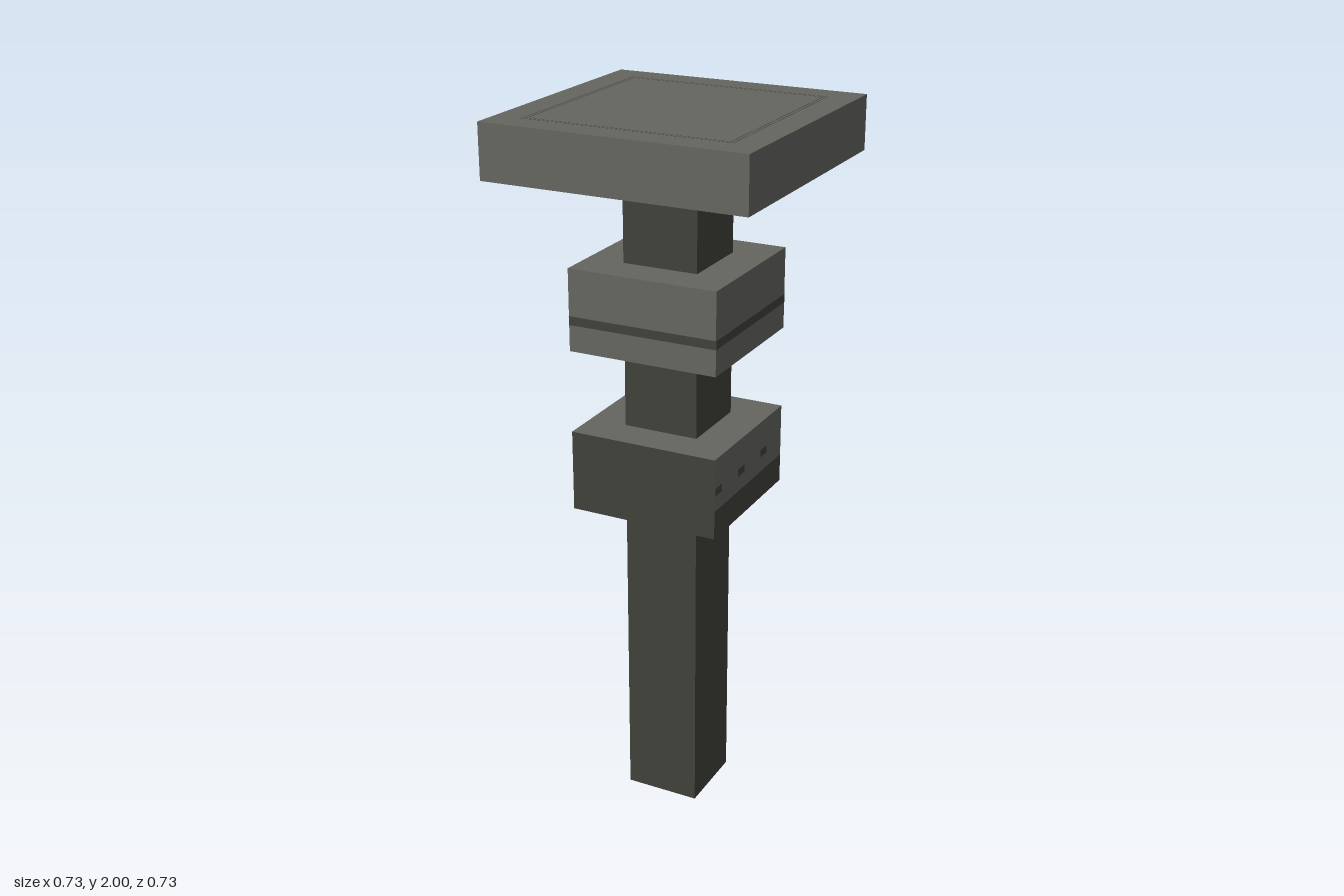
import * as THREE from 'three';

const light = new THREE.MeshStandardMaterial({ color: 0x656560 });
light.name = 'paleStone';
const dark = new THREE.MeshStandardMaterial({ color: 0x41413a, side: THREE.DoubleSide });
dark.name = 'darkStone';

const SHAFT = 0.107, COLLAR = 0.213, CAP = 0.367;

function add(parent, name, geometry, material, x = 0, y = 0, z = 0) {
  const mesh = new THREE.Mesh(geometry, material);
  mesh.name = name;
  mesh.position.set(x, y, z);
  parent.add(mesh);
  return mesh;
}

// Square block between two heights; materials may be one or six (+x -x +y -y +z -z)
function block(parent, name, half, y0, y1, material) {
  return add(parent, name, new THREE.BoxGeometry(half * 2, y1 - y0, half * 2), material, 0, (y0 + y1) / 2, 0);
}

// Open four-sided tube or frustum with hard edges
function squareTube(topHalf, bottomHalf, height) {
  const r = Math.SQRT2;
  const g = new THREE.CylinderGeometry(topHalf * r, bottomHalf * r, height, 4, 1, true, Math.PI / 4).toNonIndexed();
  g.computeVertexNormals();
  return g;
}

// Thin painted plate on a collar side, turned about y (0 = front, PI/2 = +x, PI = back)
function plate(parent, name, turn, u, y, w, h) {
  const side = new THREE.Group();
  side.name = name;
  side.rotation.y = turn;
  add(side, name + 'Plate', new THREE.BoxGeometry(w, h, 0.002), dark, u, y, COLLAR);
  parent.add(side);
}

// Thin square outline inlaid in the cap top
function outline(parent, half, width) {
  const s = new THREE.Shape();
  const h = new THREE.Path();
  const i = half - width;
  s.moveTo(-half, -half).lineTo(half, -half).lineTo(half, half).lineTo(-half, half).closePath();
  h.moveTo(-i, -i).lineTo(-i, i).lineTo(i, i).lineTo(i, -i).closePath();
  s.holes.push(h);
  const g = new THREE.ShapeGeometry(s).rotateX(-Math.PI / 2);
  add(parent, 'capOutline', g, dark, 0, 2.0005, 0);
}

export function createModel() {
  const model = new THREE.Group();
  model.name = 'squarePost';

  // Hollow shaft, open at the foot
  add(model, 'shaft', squareTube(SHAFT, SHAFT, 1.84), dark, 0, 0.92, 0);

  // Lower collar: dark base, upper band pale on the right, back and top
  block(model, 'lowerCollarBase', COLLAR, 0.92, 1.0, [dark, dark, dark, light, dark, dark]);
  block(model, 'lowerCollarBand', COLLAR, 1.0, 1.148, [light, dark, light, light, dark, light]);
  for (const turn of [Math.PI / 2, Math.PI]) {
    for (const u of [-0.19, -0.05, 0.095]) plate(model, 'collarSpot', turn, u, 1.055, 0.04, 0.022);
  }

  // Upper collar with a thin dark stripe
  block(model, 'upperCollar', COLLAR, 1.378, 1.605, light);
  for (const turn of [0, Math.PI / 2, Math.PI]) {
    plate(model, 'collarStripe', turn, 0, 1.463, COLLAR * 2, 0.024);
  }

  // Cap slab with a shallow tapered underside
  add(model, 'capUnderside', squareTube(CAP, SHAFT, 0.02), light, 0, 1.842, 0);
  block(model, 'cap', CAP, 1.852, 2, light);
  outline(model, 0.29, 0.003);
  outline(model, 0.28, 0.003);

  return model;
}
